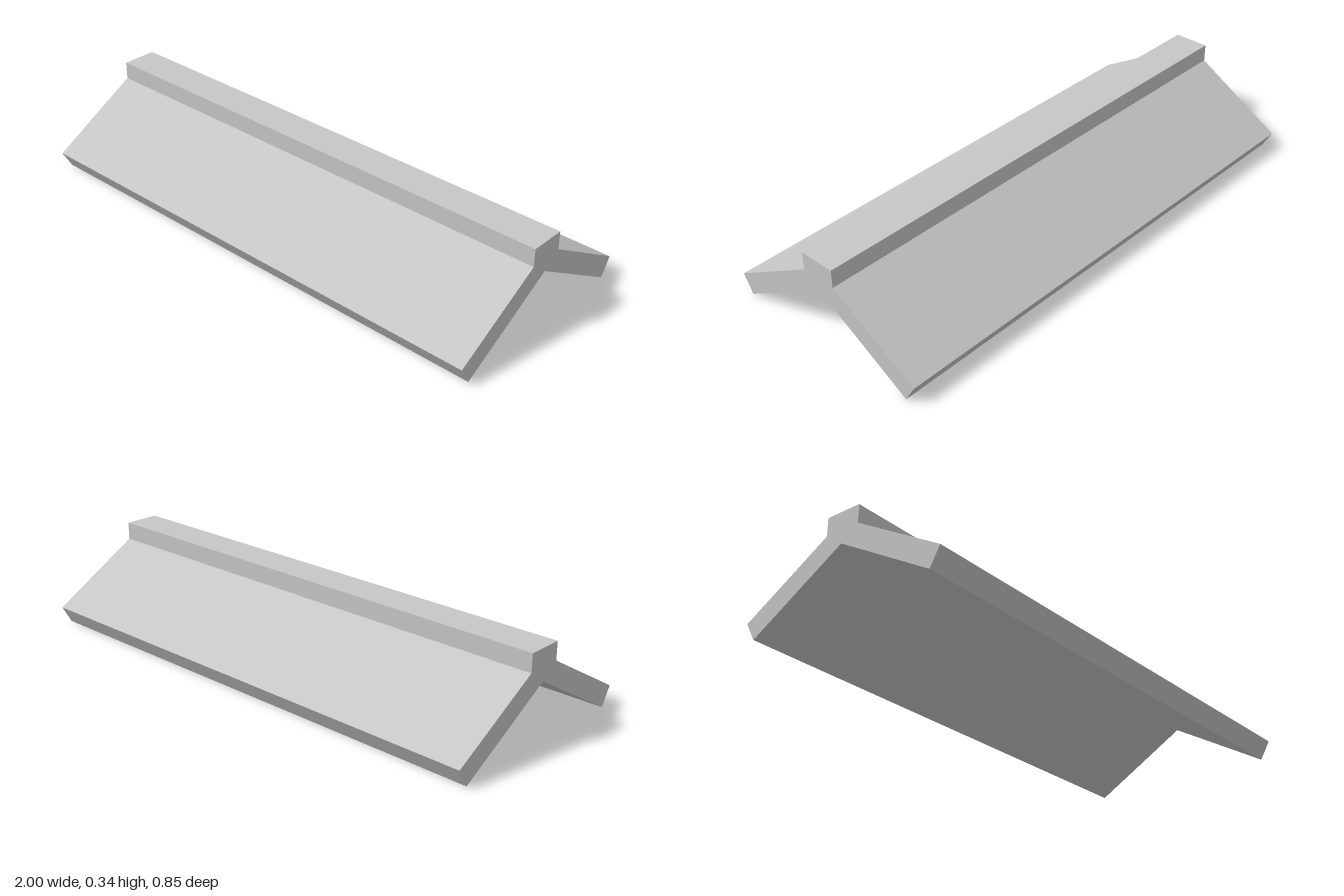
import * as THREE from 'three';

// Right half of the section as [z, y], from the top of the ridge down to the inner apex
const HALF_SECTION = [[0.07, 0.345], [0.07, 0.276], [0.427, 0.07], [0.387, 0], [0, 0.225]];
const LENGTH = 2;

export function createModel() {
  const group = new THREE.Group();
  group.name = 'ridgeCap';

  const grey = new THREE.MeshStandardMaterial({ color: 0xc6c6c6 });
  grey.name = 'light grey';

  // Mirror the half section to close the profile
  const mirrored = HALF_SECTION.slice(0, -1).reverse().map(([z, y]) => [-z, y]);
  const outline = [...HALF_SECTION, ...mirrored].map(([z, y]) => new THREE.Vector2(z, y));

  // Two sloping wings and a square ridge bar in one straight extrusion along x
  const geometry = new THREE.ExtrudeGeometry(new THREE.Shape(outline), {
    depth: LENGTH,
    bevelEnabled: false,
  });
  geometry.translate(0, 0, -LENGTH / 2);
  geometry.rotateY(-Math.PI / 2);

  const profile = new THREE.Mesh(geometry, grey);
  profile.name = 'ridgeProfile';
  group.add(profile);
  return group;
}
